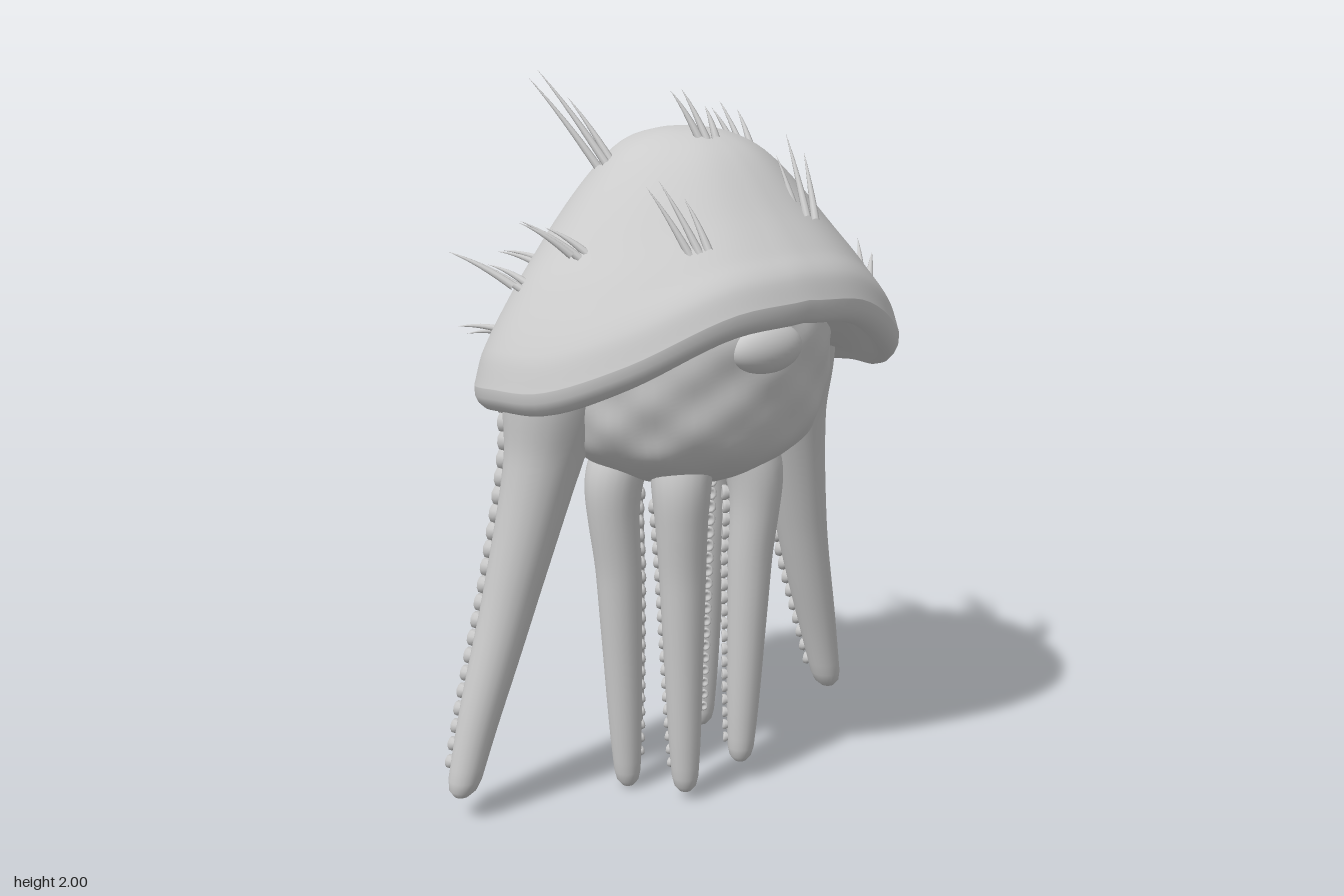
import * as THREE from 'three';
import { mergeGeometries, mergeVertices } from 'three/addons/utils/BufferGeometryUtils.js';

const material = new THREE.MeshStandardMaterial({ color: 0xcccccc, roughness: 0.7 });
const V = (x, y, z) => new THREE.Vector3(x, y, z);
const lerp = THREE.MathUtils.lerp;

// Smooth 1D curve through [input, output] pairs
function smooth(points) {
  const slope = (i) => {
    const a = points[Math.max(i - 1, 0)], b = points[Math.min(i + 1, points.length - 1)];
    return (b[1] - a[1]) / (b[0] - a[0]);
  };
  return (x) => {
    let i = 0;
    while (i < points.length - 2 && x > points[i + 1][0]) i++;
    const [x0, y0] = points[i], [x1, y1] = points[i + 1], d = x1 - x0;
    const t = THREE.MathUtils.clamp((x - x0) / d, 0, 1), s = 1 - t;
    return y0 * (1 + 2 * t) * s * s + y1 * t * t * (3 - 2 * t) + d * t * s * (s * slope(i) - t * slope(i + 1));
  };
}

// Closed rings stacked from top to bottom; point(row, angle) gives each corner
function loft(rows, sides, point) {
  const pos = [], index = [];
  for (let i = 0; i < rows; i++) {
    for (let j = 0; j < sides; j++) {
      pos.push(...point(i, (j / sides) * Math.PI * 2).toArray());
      if (i === rows - 1) continue;
      const a = i * sides + j, c = i * sides + ((j + 1) % sides);
      index.push(a, a + sides, c, c, a + sides, c + sides);
    }
  }
  let g = new THREE.BufferGeometry();
  g.setAttribute('position', new THREE.Float32BufferAttribute(pos, 3));
  g.setIndex(index);
  g = mergeVertices(g, 1e-5);
  g.computeVertexNormals();
  return g;
}

function mesh(name, geometry) {
  const m = new THREE.Mesh(geometry, material);
  m.name = name;
  return m;
}

// Cap: rim height by angle from the front, dome profiles for front, sides and back
const CENTER_Z = 0.05, TOP = 1.86;
const rimHeight = smooth([[0, 1.46], [0.35, 1.435], [0.8, 1.32], [1.2, 1.245], [1.57, 1.23], [2.3, 1.18], [2.75, 1.145], [3.1416, 1.14]]);
const frontProfile = smooth([[0, 1], [0.2, 0.96], [0.42, 0.82], [0.7, 0.47], [0.85, 0.28], [0.95, 0.15], [1, 0]]);
const sideProfile = smooth([[0, 1], [0.16, 0.98], [0.32, 0.91], [0.48, 0.76], [0.68, 0.53], [0.81, 0.37], [0.96, 0.13], [1, 0]]);
const backProfile = smooth([[0, 1], [0.2, 0.99], [0.4, 0.94], [0.64, 0.72], [0.8, 0.42], [0.95, 0.13], [1, 0]]);

// the back corners of the rim are drawn in a little
const pinch = (a) => (Math.cos(a) < 0 ? 1 - 0.06 * Math.sin(2 * a) ** 2 : 1);

function domeHeight(a, f) {
  const c = Math.cos(a), w = c * c;
  const h = sideProfile(f) * (1 - w) + (c > 0 ? frontProfile(f) : backProfile(f)) * w;
  const rim = rimHeight(Math.acos(THREE.MathUtils.clamp(c, -1, 1)));
  return rim + (TOP - rim) * h;
}
function capPoint(a, f, y) {
  const r = f * lerp(1, pinch(a), f);
  return V(0.625 * r * Math.sin(a), y, CENTER_Z + 0.495 * r * Math.cos(a));
}

function cap() {
  const domeRows = 40;
  // Fat rolled lip and shallow underside: [radius factor, height above rim]
  const under = [[0.998, -0.025], [0.982, -0.045], [0.955, -0.06], [0.92, -0.062], [0.88, -0.05], [0.83, -0.03], [0.77, -0.01], [0.7, 0], [0.5, 0], [0, 0]];
  return mesh('cap', loft(domeRows + 1 + under.length, 96, (i, a) => {
    if (i <= domeRows) {
      const f = Math.sin((i / domeRows) * Math.PI / 2);
      return capPoint(a, f, domeHeight(a, f));
    }
    const [f, dy] = under[i - domeRows - 1];
    // the ceiling levels out towards the middle
    return capPoint(a, f, lerp(1.28, domeHeight(a, 1) + dy, Math.min(1, f / 0.75)));
  }));
}

// Lumpy body below the cap, broad and blunt at the bottom
function body() {
  const radius = smooth([[0, 0.36], [0.25, 0.41], [0.5, 0.405], [0.66, 0.385], [0.78, 0.345], [0.88, 0.26], [0.96, 0.14], [1, 0]]);
  const rows = 44;
  return mesh('body', loft(rows + 1, 72, (i, a) => {
    const t = i / rows;
    const lumps = Math.sin(7 * a + 1) * Math.sin(17 * t) + Math.sin(11 * a - 2) * Math.sin(25 * t + 1);
    const r = radius(t) * (1 + 0.011 * lumps);
    return V(r * Math.sin(a), 1.5 - 0.61 * t, 0.05 + 0.84 * r * Math.cos(a));
  }));
}

// Cup-shaped sucker, opening along +y
const suckerShape = new THREE.LatheGeometry(
  [[0.6, -0.6], [0.7, 0.1], [0.95, 0.45], [0.9, 0.85], [0.6, 0.9], [0.35, 0.6], [0, 0.55]].map(([x, y]) => new THREE.Vector2(x, y)), 10);

// Tapered tentacle with a double row of suckers on the side named by angle
function tentacle(name, points, radii, angle, pairs, size, first) {
  const group = new THREE.Group();
  group.name = name;
  const path = new THREE.CatmullRomCurve3(points.map((p) => V(...p)));
  const width = smooth(radii), rows = 48;
  const at = (t, a, out = 0) => {
    const tip = t > 0.96 ? Math.sqrt(Math.max(0, 1 - ((t - 0.96) / 0.04) ** 2)) : 1;
    const r = width(t) * tip + out;
    return path.getPointAt(t).add(V(r * Math.sin(a), 0, r * Math.cos(a)));
  };
  group.add(mesh('tentacleArm', loft(rows + 1, 20, (i, a) => {
    const t = i / rows;
    return at(t < 0.9 ? t : 0.9 + 0.1 * Math.sin(((t - 0.9) / 0.1) * Math.PI / 2), a);
  })));
  const suckers = [];
  for (let i = 0; i < pairs; i++) {
    for (const side of [-1, 1]) {
      const t = lerp(first, 0.95, (i + (side > 0 ? 0.4 : 0)) / pairs), a = angle + side * 0.45;
      const s = size * (1 - 0.45 * t), p = at(t, a, -0.1 * s);
      const q = new THREE.Quaternion().setFromUnitVectors(V(0, 1, 0), V(Math.sin(a), 0, Math.cos(a)));
      suckers.push(suckerShape.clone().applyMatrix4(new THREE.Matrix4().compose(p, q, V(s, s, s))));
    }
  }
  group.add(mesh('suckers', mergeGeometries(suckers)));
  return group;
}

// Tuft of three thin bent spines: base x, z and tip offset
function tuft([x, z, dx, dy, dz], k) {
  const a = Math.atan2(x / 0.625, (z - CENTER_Z) / 0.495);
  const f = Math.min(0.97, Math.hypot(x / 0.625, (z - CENTER_Z) / 0.495) / pinch(a));
  const base = V(x, domeHeight(a, f) - 0.01, z);
  const spines = [-1, 0, 1].map((n) => {
    const start = base.clone().add(V(0.018 * n, 0.008 * ((n + k) % 2), 0.012 * n));
    const reach = V(dx, dy, dz).multiplyScalar(n === 0 ? 1 : 0.72 + 0.08 * ((k + n + 3) % 3));
    const end = start.clone().add(reach).add(V(0.025 * n, -0.015 * n, 0));
    const mid = start.clone().lerp(end, 0.5).add(V(0, 0.015, 0));
    const curve = new THREE.QuadraticBezierCurve3(start, mid, end);
    const g = new THREE.TubeGeometry(curve, 8, 0.0105, 8);
    // taper each ring towards the tip
    const pos = g.attributes.position, p = V(0, 0, 0);
    for (let i = 0; i < pos.count; i++) {
      const t = Math.floor(i / 9) / 8, c = curve.getPointAt(t);
      p.fromBufferAttribute(pos, i).sub(c).multiplyScalar(1.02 - t ** 1.3).add(c);
      pos.setXYZ(i, p.x, p.y, p.z);
    }
    return g;
  });
  return mesh('spineTuft', mergeGeometries(spines));
}

export function createModel() {
  const model = new THREE.Group();
  model.name = 'tentacledCreature';
  model.add(cap(), body());

  // Single front eye
  const eye = mesh('eye', new THREE.SphereGeometry(1, 32, 20));
  eye.scale.set(0.115, 0.068, 0.06);
  eye.position.set(0, 1.315, 0.375);
  model.add(eye);

  // Long outer tentacles, mirrored
  for (const s of [1, -1]) {
    model.add(tentacle(s > 0 ? 'leftOuterTentacle' : 'rightOuterTentacle',
      [[0.37 * s, 1.28, 0], [0.42 * s, 1.02, -0.02], [0.515 * s, 0.62, -0.06], [0.61 * s, 0.28, -0.085], [0.665 * s, 0.07, -0.095]],
      [[0, 0.16], [0.1, 0.14], [0.22, 0.108], [0.5, 0.08], [0.75, 0.063], [1, 0.042]], Math.PI, 21, 0.036, 0.1));
  }

  // Inner tentacles: top x, z, tip x, y, z and the angle the suckers face
  const inner = [
    ['frontRightTentacle', -0.125, 0.185, -0.095, 0.025, 0.165, 3.1],
    ['frontLeftTentacle', 0.125, 0.185, 0.105, 0.06, 0.16, -2.6],
    ['middleRightTentacle', -0.235, 0.03, -0.18, 0.005, 0.005, 2],
    ['backTentacle', -0.06, -0.205, -0.03, 0.05, -0.195, -0.9],
    ['backLeftTentacle', 0.205, -0.13, 0.185, 0.05, -0.13, -1],
  ];
  for (const [name, x, z, tx, ty, tz, facing] of inner) {
    // the root bends inwards to merge with the body
    const points = [0.05, 0.35, 0.7, 1].map((t) => [lerp(x, tx, t), lerp(0.98, ty, t), lerp(z, tz, t)]);
    points.unshift([0.6 * x, 1.13, 0.05 + 0.6 * (z - 0.05)]);
    model.add(tentacle(name, points,
      [[0, 0.085], [0.15, 0.084], [0.3, 0.07], [0.6, 0.056], [0.85, 0.045], [1, 0.034]], facing, 20, 0.026, 0.24));
  }

  // Spine tufts over the cap
  const tufts = [
    [-0.22, 0.39, -0.03, 0.17, -0.13], [0.13, 0.38, 0.06, 0.2, -0.16],
    [-0.03, 0.17, -0.01, 0.13, -0.1], [-0.23, 0, -0.08, 0.235, -0.2],
    [0.22, 0.01, 0.02, 0.14, -0.14], [-0.24, -0.26, -0.04, 0.02, -0.19],
    [0.14, -0.2, 0.02, 0.02, -0.22], [0.4, -0.06, 0.08, 0.07, -0.22],
    [-0.49, 0, -0.09, 0.08, -0.2], [0.5, 0.19, 0.1, 0.09, -0.13],
    [-0.41, 0.15, -0.1, 0.09, -0.12], [0.35, -0.25, 0.01, -0.02, -0.19],
    [-0.36, -0.27, -0.05, -0.02, -0.17], [0.01, -0.335, 0.02, -0.03, -0.21],
  ];
  tufts.forEach((t, k) => model.add(tuft(t, k)));
  return model;
}
